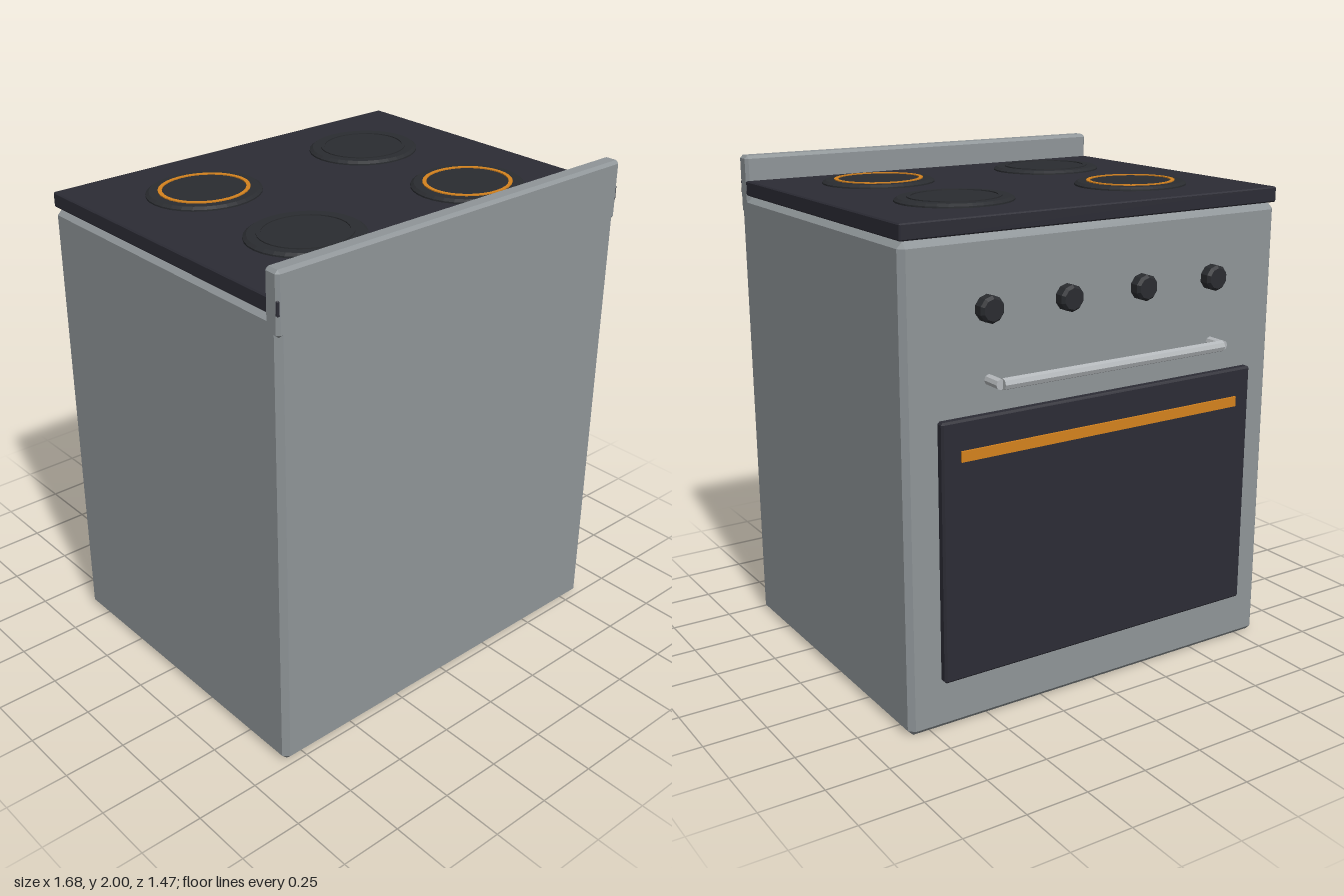
import * as THREE from 'three';
import { ConvexGeometry } from 'three/addons/geometries/ConvexGeometry.js';

const material = (name, color) => {
  const m = new THREE.MeshStandardMaterial({ color });
  m.name = name;
  return m;
};

// Box between two corners with a flat chamfer on every edge
function chamferBox([x0, y0, z0], [x1, y1, z1], c) {
  const h = [(x1 - x0) / 2, (y1 - y0) / 2, (z1 - z0) / 2];
  const points = [];
  for (const sx of [-1, 1]) for (const sy of [-1, 1]) for (const sz of [-1, 1]) {
    for (let axis = 0; axis < 3; axis++) {
      const p = h.map((v, i) => (i === axis ? v : v - c));
      points.push(new THREE.Vector3(sx * p[0], sy * p[1], sz * p[2]));
    }
  }
  return new ConvexGeometry(points).translate((x0 + x1) / 2, (y0 + y1) / 2, (z0 + z1) / 2);
}

// Turned solid with sharp facets; profile is a list of [radius, height]
function turned(profile, sides) {
  const g = new THREE.LatheGeometry(profile.map(([r, y]) => new THREE.Vector2(r, y)), sides).toNonIndexed();
  g.computeVertexNormals();
  return g;
}

export function createModel() {
  const steel = material('steel', 0x8f9598);
  const black = material('black enamel', 0x2c2c35);
  const plate = material('burner black', 0x2a2c30);
  const orange = material('glowing orange', 0xd4821e);
  const chrome = material('chrome', 0xb4b8bb);

  const model = new THREE.Group();
  model.name = 'stove';
  const add = (name, geometry, mat, parent = model) => {
    const mesh = new THREE.Mesh(geometry, mat);
    mesh.name = name;
    parent.add(mesh);
    return mesh;
  };

  // Cabinet, cooktop and rear upstand; the oven door is on the -z side
  add('body', chamferBox([-0.84, 0, -0.615], [0.84, 1.835, 0.735], 0.022), steel);
  add('cooktop', chamferBox([-0.839, 1.84, -0.615], [0.839, 1.9, 0.733], 0.005), black);
  add('backGuard', chamferBox([-0.84, 1.765, 0.665], [0.84, 2, 0.735], 0.012), steel);

  // Four oval burners, two of them glowing
  const disc = turned([[0.229, 1.898], [0.229, 1.906], [0.216, 1.915], [0, 1.915]], 32);
  const ring = turned([[0.181, 1.914], [0.181, 1.919], [0.165, 1.919], [0.165, 1.914]], 32);
  for (const x of [-0.405, 0.405]) {
    for (const z of [-0.24, 0.355]) {
      const burner = new THREE.Group();
      burner.name = 'burner';
      burner.position.set(x, 0, z);
      burner.scale.z = 0.91;
      add('burnerPlate', disc, plate, burner);
      add('burnerRing', ring, x * z > 0 ? orange : plate, burner);
      model.add(burner);
    }
  }

  // Oven door with a glowing strip
  add('ovenDoor', chamferBox([-0.71, 0.2, -0.652], [0.71, 1.2, -0.613], 0.008), black);
  add('doorStrip', new THREE.BoxGeometry(1.27, 0.04, 0.009).translate(0, 1.067, -0.656), orange);

  // Control knobs
  const knob = turned([[0, 0], [0.043, 0], [0.05, 0.008], [0.05, 0.044], [0.04, 0.056], [0, 0.056]], 10)
    .rotateX(-Math.PI / 2);
  for (const x of [-0.507, -0.169, 0.169, 0.507]) {
    add('knob', knob, plate).position.set(x, 1.58, -0.616);
  }

  // Door handle: bar on two posts
  const bar = turned([[0, -0.5], [0.022, -0.5], [0.022, 0.5], [0, 0.5]], 8).rotateZ(Math.PI / 2);
  add('handleBar', bar, chrome).position.set(0, 1.325, -0.713);
  const post = turned([[0, 0], [0.02, 0], [0.02, 0.08], [0, 0.08]], 8).rotateX(-Math.PI / 2);
  for (const x of [-0.507, 0.507]) {
    add('handlePost', post, chrome).position.set(x, 1.325, -0.635);
  }

  return model;
}
